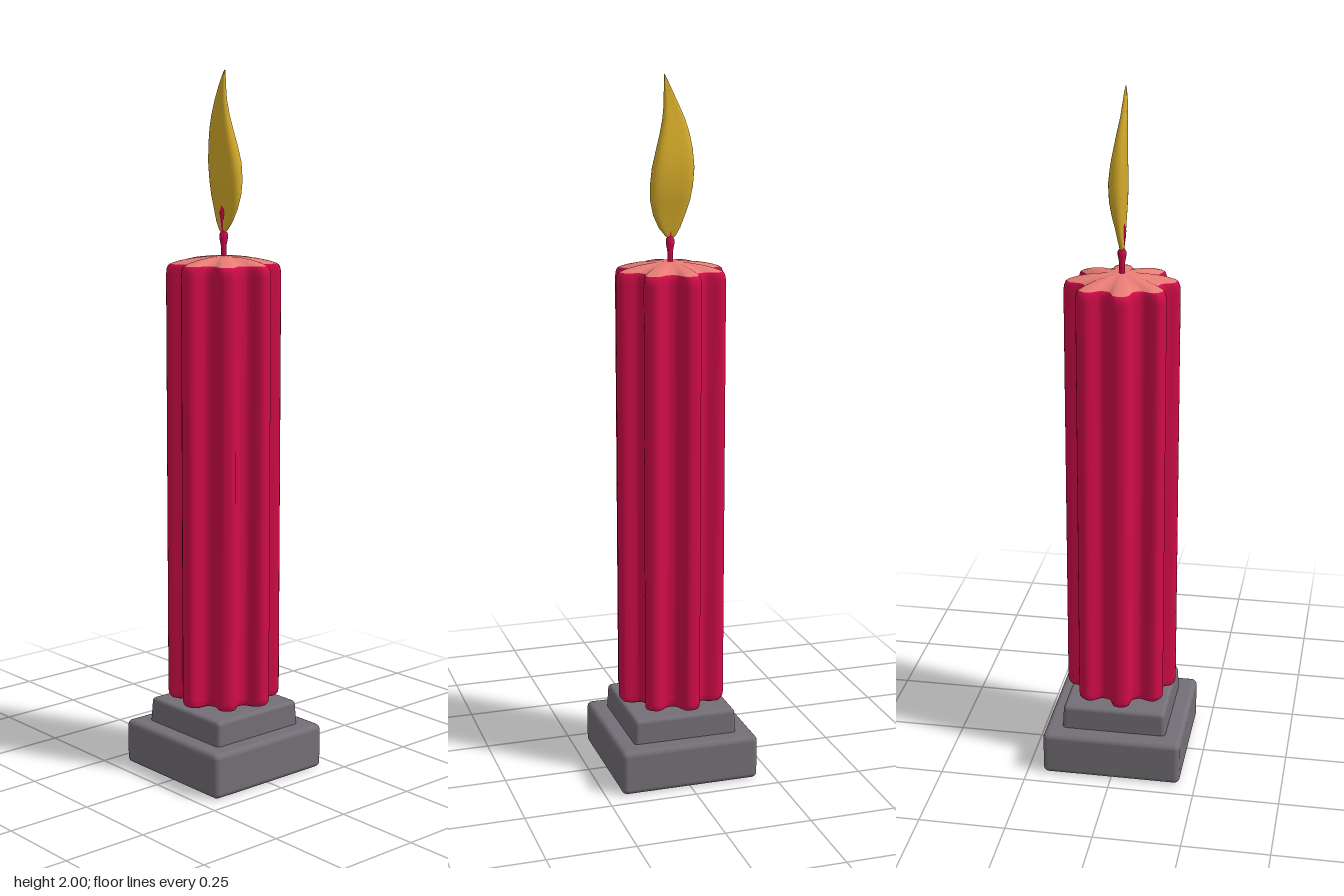
import * as THREE from 'three';
import { RoundedBoxGeometry } from 'three/addons/geometries/RoundedBoxGeometry.js';

const material = (name, color) => {
  const m = new THREE.MeshStandardMaterial({ color });
  m.name = name;
  return m;
};

// Smooth skin over closed rings, listed from bottom to top
function loft(rings) {
  const n = rings[0].length;
  const index = [];
  for (let i = 0; i < rings.length - 1; i++) {
    for (let j = 0; j < n; j++) {
      const k = (j + 1) % n;
      const a = i * n + j, b = i * n + k, c = a + n, d = b + n;
      index.push(a, c, b, b, c, d);
    }
  }
  const geo = new THREE.BufferGeometry();
  geo.setAttribute('position', new THREE.Float32BufferAttribute(rings.flat(2), 3));
  geo.setIndex(index);
  geo.computeVertexNormals();
  return geo;
}

function ring(n, point) {
  return Array.from({ length: n }, (_, j) => point((j / n) * Math.PI * 2));
}

// Eight-lobed candle section, scaled and set at a height
function lobedRing([scale, y]) {
  return ring(128, (a) => {
    const wave = Math.tanh(1.8 * Math.cos(8 * (a + 0.14))) / Math.tanh(1.8);
    const r = (0.14 + 0.021 * wave) * scale;
    return [r * Math.cos(a), y, r * Math.sin(a)];
  });
}

// Flattened flame section, pinched in the middle
function flameRing([y, left, right, z, depth]) {
  return ring(32, (a) => {
    const c = Math.cos(a), s = Math.sin(a);
    const pinch = 0.72 + 0.5 * c * c;
    return [(left + right) / 2 + ((right - left) / 2) * c, y, z + depth * s * pinch * 1.2];
  });
}

export function createModel() {
  const group = new THREE.Group();
  const stone = material('grey stone', 0x746f76);
  const wax = material('red wax', 0xd00c48);
  const melted = material('pink melted wax', 0xe87c75);
  const fire = material('yellow flame', 0xd6ac2a);

  const add = (name, geo, mat, y = 0) => {
    const mesh = new THREE.Mesh(geo, mat);
    mesh.name = name;
    mesh.position.y = y;
    group.add(mesh);
  };

  // Stepped square base, the upper step tapering a little
  add('lowerBase', new RoundedBoxGeometry(0.406, 0.13, 0.406, 4, 0.016), stone, 0.065);
  const step = new RoundedBoxGeometry(0.308, 0.08, 0.308, 4, 0.012);
  const p = step.attributes.position;
  for (let i = 0; i < p.count; i++) {
    const s = 1 - 0.35 * (p.getY(i) + 0.04);
    p.setX(i, p.getX(i) * s);
    p.setZ(i, p.getZ(i) * s);
  }
  add('upperBase', step, stone, 0.16);

  // Fluted candle with softened ends
  const body = [[0, 0.211], [0.88, 0.211], [0.95, 0.214], [0.985, 0.221], [1, 0.234],
    [1, 1.44], [0.99, 1.456], [0.965, 1.466], [0.93, 1.47]];
  add('candleBody', loft(body.map(lobedRing)), wax);

  // Low dome of melted wax
  const dome = [[0.93, 1.47], [0.8, 1.477], [0.6, 1.484], [0.3, 1.49], [0, 1.492]];
  add('meltedTop', loft(dome.map(lobedRing)), melted);

  // Wick, swelling below the flame and pointed at the tip
  const wick = [[0, 1.48], [0.008, 1.48], [0.008, 1.52], [0.012, 1.54], [0.012, 1.552],
    [0.006, 1.562], [0.009, 1.59], [0.012, 1.61], [0.007, 1.63], [0, 1.655]];
  add('wick', new THREE.LatheGeometry(wick.map(([r, y]) => new THREE.Vector2(r, y)), 12), wax);

  // Flame sections: height, left edge, right edge, depth centre, half depth
  const flame = [
    [1.552, -0.002, 0.002, 0, 0.001],
    [1.562, -0.016, 0.014, 0, 0.006],
    [1.585, -0.029, 0.033, -0.001, 0.009],
    [1.62, -0.042, 0.05, -0.004, 0.012],
    [1.66, -0.055, 0.059, -0.007, 0.018],
    [1.7, -0.062, 0.06, -0.009, 0.023],
    [1.75, -0.066, 0.054, -0.009, 0.025],
    [1.8, -0.062, 0.041, -0.006, 0.022],
    [1.84, -0.055, 0.03, -0.002, 0.018],
    [1.88, -0.043, 0.021, 0.002, 0.014],
    [1.92, -0.026, 0.016, 0.006, 0.01],
    [1.96, -0.007, 0.015, 0.008, 0.007],
    [1.985, 0.005, 0.015, 0.008, 0.004],
    [2, 0.013, 0.015, 0.008, 0.001],
  ];
  add('flame', loft(flame.map(flameRing)), fire);

  return group;
}
